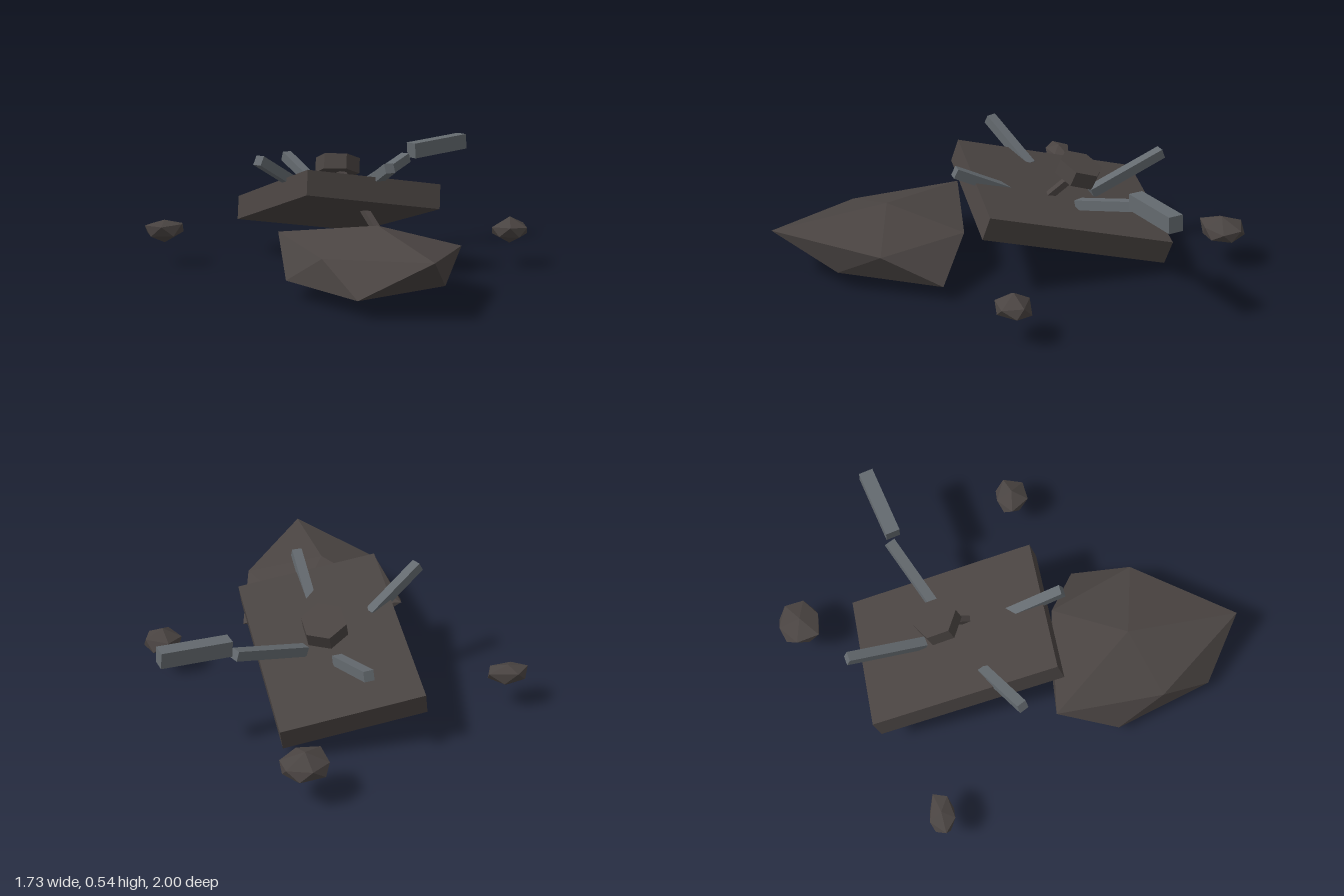
import * as THREE from 'three';

const mat = (name, color) => {
  const m = new THREE.MeshStandardMaterial({ color, flatShading: true });
  m.name = name;
  return m;
};

export function createModel() {
  const model = new THREE.Group();
  const stone = mat('dark stone', 0x4a4442);
  const steel = mat('grey steel', 0x646a6f);

  const add = (name, geometry, material, position = [0, 0, 0], rotation = [0, 0, 0]) => {
    const mesh = new THREE.Mesh(geometry, material);
    mesh.name = name;
    mesh.position.set(...position);
    mesh.rotation.set(...rotation);
    model.add(mesh);
    return mesh;
  };

  // Box beam between two points
  const beam = (name, from, to, width, height, material) => {
    const a = new THREE.Vector3(...from), b = new THREE.Vector3(...to);
    const mesh = add(name, new THREE.BoxGeometry(width, height, a.distanceTo(b)), material);
    mesh.position.copy(a).lerp(b, 0.5);
    mesh.lookAt(b);
  };

  // Faceted boulder: apex, two staggered rings, base point
  const rock = (name, position, top, upper, lower, bottom) => {
    const n = upper.length, v = [];
    for (let i = 0; i < n; i++) {
      const j = (i + 1) % n;
      v.push(...top, ...upper[i], ...upper[j]);
      v.push(...upper[i], ...lower[i], ...upper[j]);
      v.push(...lower[i], ...lower[j], ...upper[j]);
      v.push(...lower[j], ...lower[i], ...bottom);
    }
    const g = new THREE.BufferGeometry();
    g.setAttribute('position', new THREE.Float32BufferAttribute(v, 3));
    g.computeVertexNormals();
    add(name, g, stone, position);
  };

  // Tilted slab
  add('slab', new THREE.BoxGeometry(0.64, 0.112, 0.87), stone, [-0.02, 0.275, -0.176], [-0.317, 0.52, 0]);

  // Hexagonal head on a thin rod that pierces the slab
  add('hexHead', new THREE.CylinderGeometry(0.103, 0.103, 0.072, 6), stone, [-0.02, 0.436, -0.258], [-0.37, Math.PI / 6, 0]);
  beam('rod', [-0.02, 0.43, -0.26], [0.195, 0.185, 0.04], 0.03, 0.03, stone);

  // Struts rising from the slab
  beam('frontLeftStrut', [0.13, 0.37, 0.02], [0.265, 0.495, 0.23], 0.045, 0.045, steel);
  beam('frontRightStrut', [-0.155, 0.37, 0.0], [-0.31, 0.52, 0.23], 0.045, 0.045, steel);
  beam('backLeftStrut', [0.065, 0.31, -0.28], [0.275, 0.435, -0.585], 0.045, 0.045, steel);
  beam('backRightStrut', [-0.09, 0.3, -0.3], [-0.31, 0.435, -0.58], 0.045, 0.045, steel);
  beam('brokenStrutEnd', [0.3, 0.47, -0.575], [0.535, 0.495, -0.785], 0.065, 0.072, steel);

  // Large boulder in front
  rock('largeBoulder', [0, 0, 0], [0.245, 0.3, 0.555],
    [[-0.205, 0.23, 0.36], [0.04, 0.2, 0.79], [0.51, 0.235, 1], [0.59, 0.207, 0.47], [0.27, 0.21, 0.19]],
    [[-0.13, 0.075, 0.64], [0.205, 0.07, 0.97], [0.535, 0.08, 0.69], [0.53, 0.07, 0.21], [0.03, 0.07, 0.27]],
    [0.245, 0, 0.56]);

  // Small rocks around it
  rock('rightRock', [-0.785, 0.16, 0.01], [0, 0.05, 0],
    [[-0.08, 0.03, 0.05], [0, 0.025, 0.065], [0.08, 0.03, 0], [0.07, 0.025, -0.065], [-0.055, 0.03, -0.035]],
    [[-0.05, -0.02, 0.06], [0.05, -0.02, 0.04], [0.08, -0.01, -0.04], [0, -0.02, -0.055], [-0.08, -0.01, 0]],
    [0, -0.055, 0]);
  rock('leftRock', [0.782, 0.165, -0.168], [0, 0.062, 0],
    [[-0.08, 0.015, 0.03], [0.005, 0.02, 0.08], [0.08, 0.015, 0.03], [0.06, 0.025, -0.06], [-0.05, 0.02, -0.055]],
    [[-0.045, -0.025, 0.055], [0.045, -0.025, 0.06], [0.08, -0.02, -0.035], [0.015, -0.025, -0.083], [-0.08, -0.02, -0.01]],
    [0, -0.06, 0]);
  rock('backRock', [-0.13, 0.17, -0.893], [0, 0.06, 0],
    [[-0.1, 0.015, 0.02], [-0.035, 0.025, 0.103], [0.06, 0.025, 0.065], [0.103, 0.015, -0.025], [0.05, 0.02, -0.095], [-0.06, 0.025, -0.08]],
    [[-0.065, -0.025, 0.065], [0.015, -0.025, 0.08], [0.09, -0.02, 0.03], [0.08, -0.025, -0.06], [-0.01, -0.02, -0.105], [-0.1, -0.02, -0.035]],
    [0, -0.06, 0]);

  return model;
}
